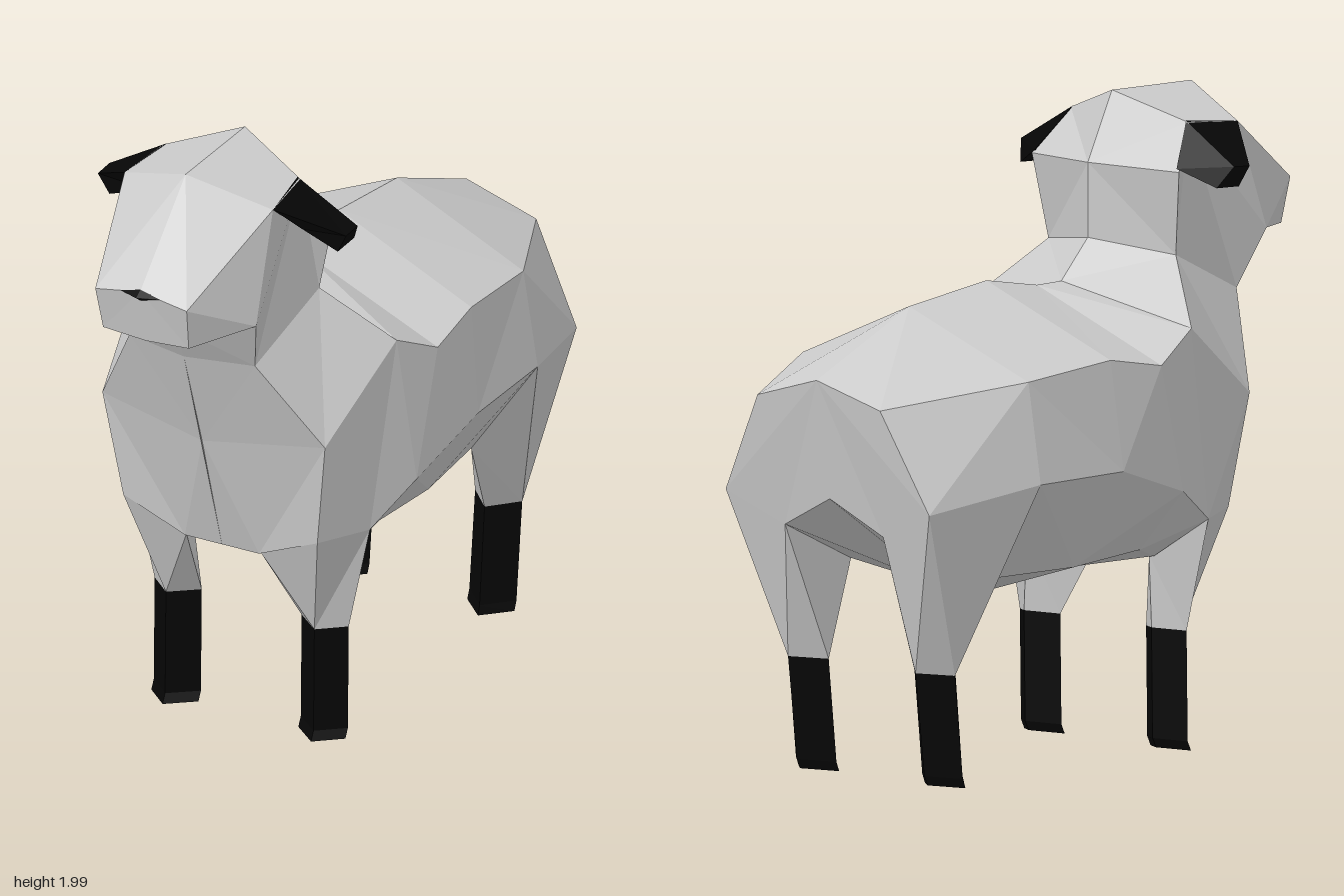
import * as THREE from 'three';

const wool = new THREE.MeshStandardMaterial({ color: 0xcccccc, flatShading: true });
const dark = new THREE.MeshStandardMaterial({ color: 0x060606, flatShading: true });

// Joins a row of rings into a closed faceted skin, splitting each quad on its shorter diagonal
function loft(rings) {
  const R = rings.map(ring => ring.map(p => new THREE.Vector3(...p)));
  const n = R[0].length, pos = [];
  const tri = (a, b, c) => {
    if (new THREE.Triangle(a, b, c).getArea() < 1e-6) return;
    for (const v of [a, b, c]) pos.push(v.x, v.y, v.z);
  };
  for (let k = 0; k < R.length - 1; k++) {
    for (let i = 0; i < n; i++) {
      const j = (i + 1) % n;
      const a = R[k][i], b = R[k][j], c = R[k + 1][j], d = R[k + 1][i];
      if (a.distanceTo(c) < b.distanceTo(d)) { tri(a, d, c); tri(a, c, b); }
      else { tri(a, d, b); tri(d, c, b); }
    }
  }
  const first = R[0], last = R[R.length - 1];
  for (let i = 1; i < n - 1; i++) {
    tri(first[0], first[i], first[i + 1]);
    tri(last[0], last[i + 1], last[i]);
  }
  const geo = new THREE.BufferGeometry();
  geo.setAttribute('position', new THREE.Float32BufferAttribute(pos, 3));
  geo.computeVertexNormals();
  return geo;
}

const flip = ([x, y, z]) => [-x, y, z];
// Half ring (top centre to bottom centre) completed by its mirror image
const whole = half => [...half, ...half.slice(1, -1).reverse().map(flip)];
// Ring moved to the other side, order reversed to keep faces outward
const otherSide = ring => ring.map(flip).reverse();

// Torso from rump to chest: spine, ridge, flank, belly edge, keel.
// The last ring folds onto the centre line to close the chest.
const torso = [
  [[0, 1.25, -1], [.25, 1.18, -.99], [.415, .87, -.95], [.2, .78, -.92], [0, .88, -.94]],
  [[0, 1.43, -.58], [.46, 1.24, -.55], [.51, .93, -.55], [.3, .62, -.51], [0, .56, -.45]],
  [[0, 1.47, -.23], [.48, 1.27, -.2], [.515, .93, -.18], [.33, .62, -.2], [0, .52, -.2]],
  [[0, 1.43, 0], [.49, 1.23, .02], [.48, .83, .13], [.33, .64, .1], [0, .55, .08]],
  [[0, 1.43, .11], [.45, 1.32, .2], [.42, .72, .31], [.27, .6, .23], [0, .57, .23]],
  [[0, 1.55, .23], [.26, 1.51, .34], [.39, 1.08, .53], [.34, .73, .49], [0, .64, .46]],
  [[0, 1.37, .71], [.22, 1.37, .66], [.39, 1.08, .53], [.13, .64, .48], [0, .64, .48]],
  [[0, 1.37, .71], [0, 1.37, .71], [0, 1.04, .6], [0, .64, .48], [0, .64, .48]],
];

// Head from nape to muzzle: top, upper side, lower side, underside
const head = [
  [[0, 1.78, .23], [.3, 1.77, .31], [.26, 1.51, .34], [0, 1.55, .23]],
  [[0, 1.99, .34], [.24, 1.905, .42], [.22, 1.37, .66], [0, 1.37, .71]],
  [[0, 1.98, .7], [.26, 1.89, .62], [.27, 1.55, .74], [0, 1.51, .79]],
  [[0, 1.7, .975], [.16, 1.67, .97], [.15, 1.53, .94], [0, 1.52, .94]],
];

const ear = [
  [[.26, 1.89, .62], [.23, 1.91, .42], [.29, 1.78, .31], [.27, 1.76, .46]],
  [[.435, 1.785, .48], [.435, 1.79, .41], [.4, 1.725, .37], [.4, 1.72, .47]],
];

// Thighs and shanks have four corners: front, outer, back, inner
const foreThigh = [[.34, .73, .49], [.42, .72, .31], [.25, .6, .23], [.13, .64, .47]];
const hindThigh = [[.3, .62, -.51], [.51, .93, -.55], [.415, .87, -.95], [.2, .78, -.92]];

// Diamond shank section at height y, from z0 (back) to z1 (front)
const shank = (y, z0, z1) => {
  const m = (z0 + z1) / 2;
  return [[.26, y, z1], [.34, y, m], [.26, y + .01, z0], [.175, y, m]];
};

export function createModel() {
  const model = new THREE.Group();
  const add = (name, geo, mat) => {
    const mesh = new THREE.Mesh(geo, mat);
    mesh.name = name;
    model.add(mesh);
    return mesh;
  };
  // Adds a part on the model's left and its mirror on the right
  const pair = (name, rings, mat) => {
    add('left' + name, loft(rings), mat);
    add('right' + name, loft(rings.map(otherSide)), mat);
  };

  add('body', loft(torso.map(whole)), wool);
  add('head', loft(head.map(whole)), wool);
  pair('Ear', ear, dark);

  // Nose on the tip of the muzzle
  const nose = add('nose', new THREE.OctahedronGeometry(1), dark);
  nose.scale.set(.07, .018, .027);
  nose.position.set(0, 1.688, .973);

  // Legs: woolly thigh, then dark shank with a small toe
  const foreAnkle = shank(.37, .23, .37);
  const hindAnkle = shank(.35, -.84, -.66);
  pair('FrontThigh', [foreThigh, foreAnkle], wool);
  pair('FrontShank', [foreAnkle, shank(.03, .235, .375), shank(0, .25, .39)], dark);
  pair('HindThigh', [hindThigh, hindAnkle], wool);
  pair('HindShank', [hindAnkle, shank(.03, -.8, -.63), shank(0, -.785, -.62)], dark);

  return model;
}
